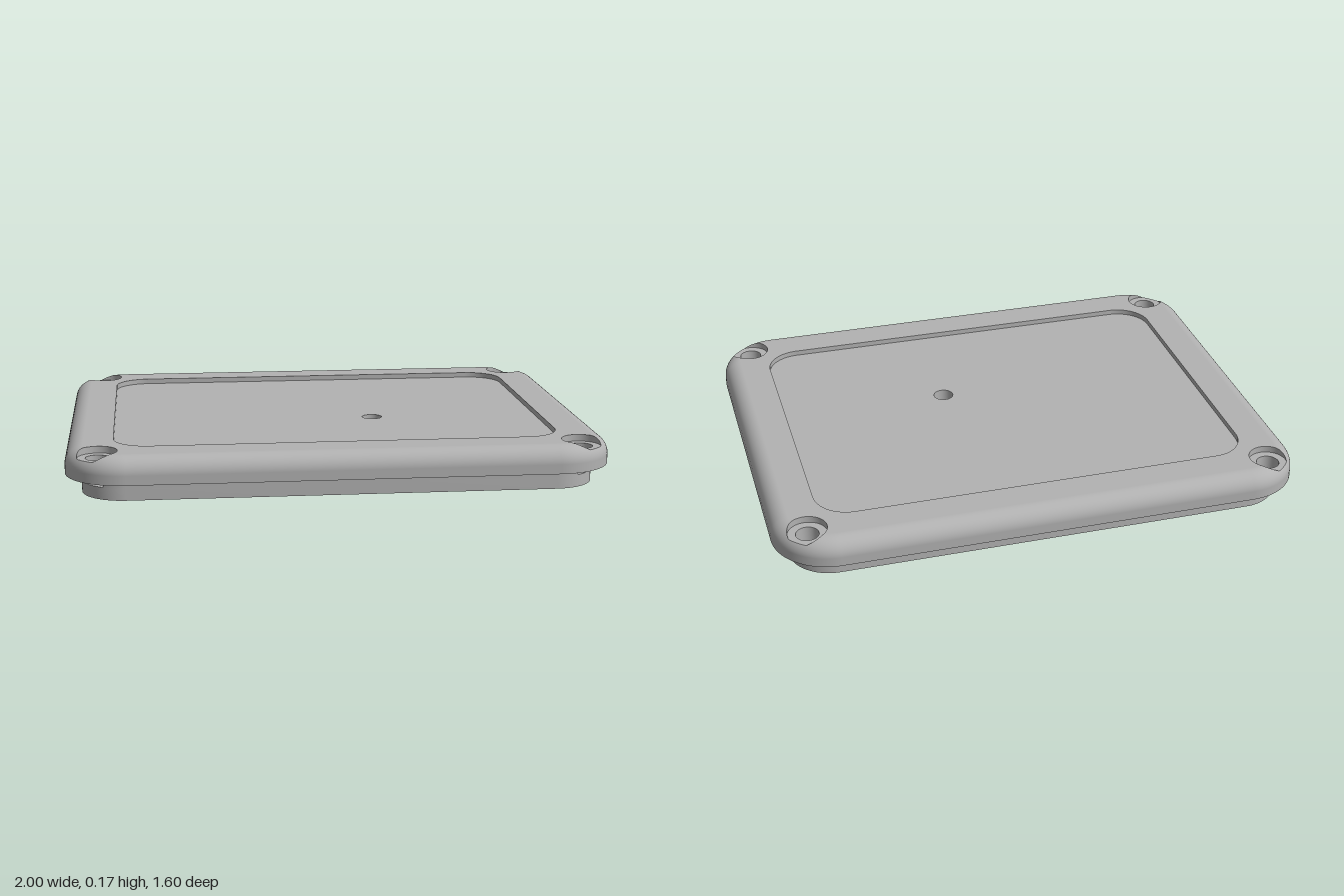
import * as THREE from 'three';
import { toCreasedNormals, mergeGeometries } from 'three/addons/utils/BufferGeometryUtils.js';

// Plan coordinates are (x, v) with v = -z, so counter-clockwise is as seen from above.
const CX = 0.78, CV = 0.58;                 // centres of the rounded corners
const R = 0.22, FILLET = 0.065;             // lid corner radius, top edge rounding
const TOP = 0.17, UNDER = 0.07, FLOOR = 0.145, RECESS = 0.15;
const D = 0.1 * Math.SQRT2, BORE = 0.072, SCREW = 0.042; // screw seats, D from corner centre
const SX = [1, -1, -1, 1], SV = [1, 1, -1, -1];
const SHOULDER = TOP - FILLET;

const diag = i => Math.PI / 4 + i * Math.PI / 2;
const polar = (x, v, r, a) => ({ x: x + r * Math.cos(a), v: v + r * Math.sin(a), a });
const range = (n, a, b) => Array.from({ length: n + 1 }, (_, k) => a + (b - a) * k / n);
const circle = (x, v, r) => range(40, 0, Math.PI * 2).map(a => polar(x, v, r, a));
const seat = i => polar(SX[i] * CX, SV[i] * CV, D, diag(i));

// One side of a rounded rectangle, from the middle of corner i to the middle of the next
function side(i, r, gap = 0, cx = CX, cv = CV) {
  const j = (i + 1) % 4, m = (i + 1) * Math.PI / 2;
  return [
    ...range(10, diag(i) + gap, m).map(a => polar(SX[i] * cx, SV[i] * cv, r, a)),
    ...range(10, m, diag(i + 1) - gap).map(a => polar(SX[j] * cx, SV[j] * cv, r, a)),
  ];
}
const ring = (r, cx, cv) => [0, 1, 2, 3].flatMap(i => side(i, r, 0, cx, cv).slice(0, -1));
const closed = pts => [...pts, { ...pts[0], a: pts[0].a + Math.PI * 2 }];

// Surface through rows of points; every point carries its height y and tilt
function loft(rows, sign = 1) {
  const pos = [], nor = [], idx = [], n = rows[0].length;
  rows.forEach((row, r) => row.forEach((p, k) => {
    const c = Math.cos(p.tilt || 0) * sign;
    pos.push(p.x, p.y, -p.v);
    nor.push(c * Math.cos(p.a), Math.sin(p.tilt || 0), -c * Math.sin(p.a));
    if (r && k) {
      const d = r * n + k, b = d - n;
      idx.push(b - 1, b, d, b - 1, d, d - 1);
    }
  }));
  const g = new THREE.BufferGeometry();
  g.setAttribute('position', new THREE.Float32BufferAttribute(pos, 3));
  g.setAttribute('normal', new THREE.Float32BufferAttribute(nor, 3));
  g.setIndex(idx);
  return g;
}
const at = (pts, y, tilt = 0) => pts.map(p => ({ ...p, y, tilt }));
const holeWall = (pts, top, bottom) => loft([at(pts, top), at(pts, bottom)], -1);

function makeShape(pts, holes = [], flip = 1) {
  const vec = list => list.map(p => new THREE.Vector2(p.x, p.v * flip));
  const s = new THREE.Shape(vec(pts));
  s.holes = holes.map(h => new THREE.Path(vec(h)));
  return s;
}
const plate = (pts, holes, y) =>
  new THREE.ShapeGeometry(makeShape(pts, holes)).rotateX(-Math.PI / 2).translate(0, y, 0);
const plateDown = (pts, holes, y) =>
  new THREE.ShapeGeometry(makeShape(pts, holes, -1)).rotateX(Math.PI / 2).translate(0, y, 0);
function block(shape, y0, y1) {
  const g = new THREE.ExtrudeGeometry(shape, { depth: y1 - y0, bevelEnabled: false });
  return toCreasedNormals(g.rotateX(-Math.PI / 2).translate(0, y0, 0), 0.5);
}

// Half angle that a screw seat takes from a corner arc of radius r, seen from the
// corner centre (gapAt) and from the seat centre (seatAngle)
const gapAt = r => Math.acos((r * r + D * D - BORE * BORE) / (2 * r * D));
const seatAngle = r => Math.atan2(r * Math.sin(gapAt(r)), r * Math.cos(gapAt(r)) - D);

export function createModel() {
  const group = new THREE.Group();
  const grey = new THREE.MeshStandardMaterial({ color: 0xb2b2b2, side: THREE.DoubleSide });
  grey.name = 'grey plastic';
  const add = (name, geo) => {
    const m = new THREE.Mesh(geo, grey);
    m.name = name;
    group.add(m);
  };
  const corners = [0, 1, 2, 3];
  const radiusAt = t => R - FILLET * (1 - Math.cos(t));
  const heightAt = t => SHOULDER + FILLET * Math.sin(t);
  const tFloor = Math.asin((FLOOR - SHOULDER) / FILLET);
  const rFloor = radiusAt(tFloor), rTop = R - FILLET;

  // Outer edge, closed all round up to the level of the screw seats
  const low = range(6, 0, tFloor).map(t => at(closed(ring(radiusAt(t))), heightAt(t), t));
  add('lidEdge', loft([at(closed(ring(R)), UNDER), ...low]));

  // Rounded upper edge, interrupted by the screw seats
  add('roundedEdge', mergeGeometries(corners.map(i => loft(
    range(10, tFloor, Math.PI / 2).map(t => at(side(i, radiusAt(t), gapAt(radiusAt(t))), heightAt(t), t))
  ))));

  // Flat top border with seat cut-outs and the recess opening
  const recess = ring(0.13, 0.695, 0.4925);
  const b = seatAngle(rTop);
  const outline = corners.flatMap(i => {
    const j = (i + 1) % 4, c = seat(j);
    const bite = range(24, -b, b - Math.PI * 2).slice(1, -1)
      .map(t => polar(c.x, c.v, BORE, diag(j) + t));
    return [...side(i, rTop, gapAt(rTop)), ...bite];
  });
  add('topBorder', plate(outline, [recess], TOP));

  // Recessed panel with its small hole
  const hole = circle(0.18, -0.134, 0.038);
  add('recessWall', holeWall(closed(recess), TOP, RECESS));
  add('recessPanel', plate(recess, [hole.slice(0, -1)], RECESS));
  add('panelHole', holeWall(hole, RECESS, UNDER));

  // Screw seats: wall, floor and through hole
  const g = seatAngle(rFloor), gap = gapAt(rFloor);
  const screws = corners.map(i => circle(seat(i).x, seat(i).v, SCREW));
  corners.forEach(i => {
    const c = seat(i);
    const angles = range(60, g, Math.PI * 2 - g);
    const arc = angles.map(t => polar(c.x, c.v, BORE, diag(i) + t));
    const rim = arc.map((p, k) => {
      const r = Math.sqrt(D * D + BORE * BORE + 2 * D * BORE * Math.cos(angles[k]));
      const e = Math.max(0, r - rTop);
      return { ...p, y: SHOULDER + Math.sqrt(FILLET * FILLET - e * e) };
    });
    const lip = range(8, -gap, gap).slice(1, -1)
      .map(t => polar(SX[i] * CX, SV[i] * CV, rFloor, diag(i) + t));
    add('screwSeatWall', loft([rim, at(arc, FLOOR)], -1));
    add('screwSeatFloor', plate([...arc, ...lip], [screws[i].slice(0, -1)], FLOOR));
    add('screwHole', holeWall(screws[i], FLOOR, UNDER));
  });

  // Underside of the lid
  add('underside', plateDown(ring(R), [hole, ...screws].map(h => h.slice(0, -1)), UNDER));

  // Locating lip below, notched beneath each screw hole
  const outer = 0.16, inner = 0.12, notch = 0.04, notchY = 0.045;
  add('lowerLip', block(makeShape(ring(outer), [ring(inner)]), 0, notchY));
  corners.forEach(i => add('upperLip', block(makeShape([
    ...side(i, outer, Math.asin(notch / outer)),
    ...side(i, inner, Math.asin(notch / inner)).reverse(),
  ]), notchY, UNDER)));

  return group;
}
